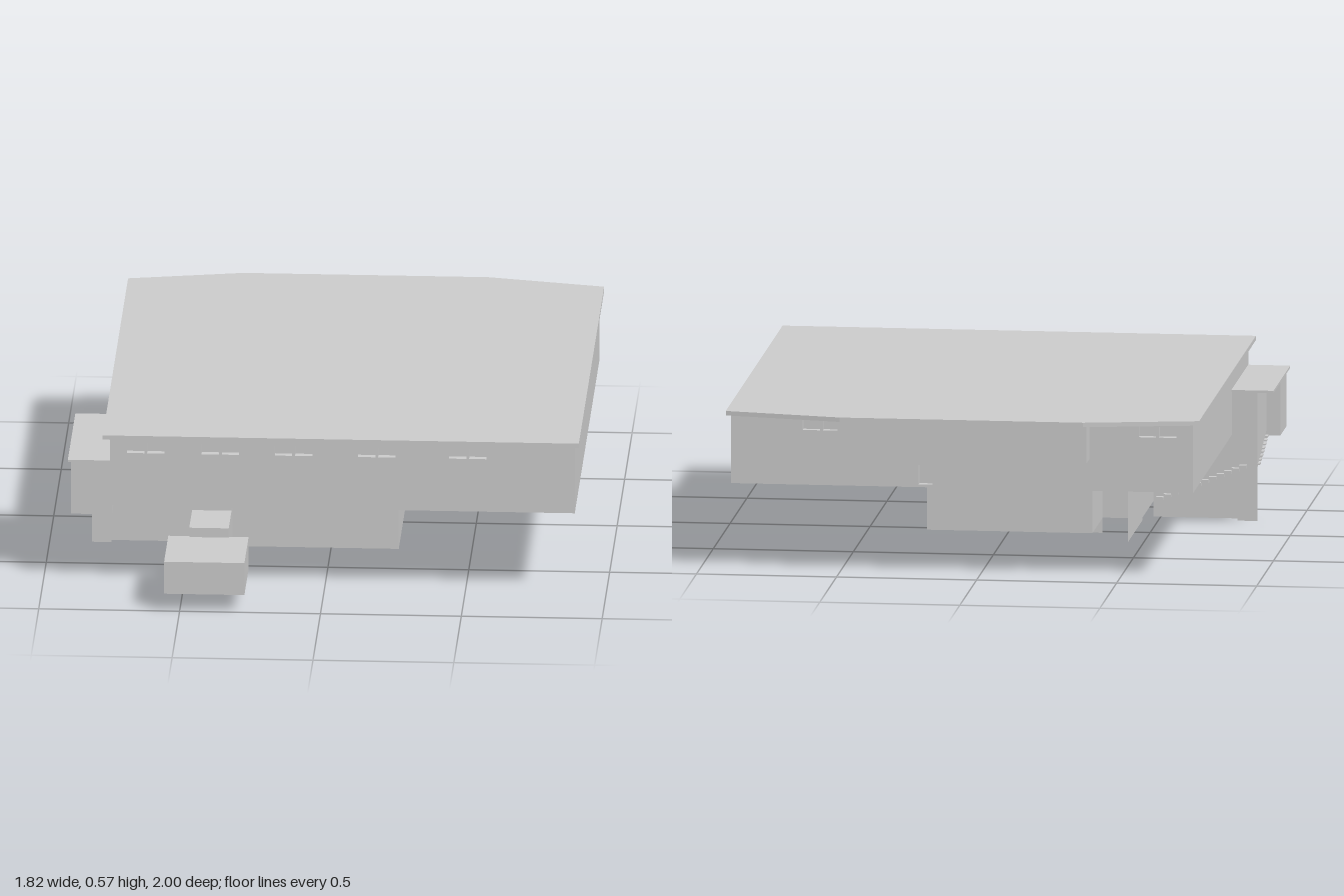
import * as THREE from 'three';

const grey = new THREE.MeshStandardMaterial({ color: 0xcccccc, flatShading: true });
const sheetGrey = new THREE.MeshStandardMaterial({ color: 0xcccccc, flatShading: true, side: THREE.DoubleSide });

export function createModel() {
  const model = new THREE.Group();

  const add = (name, geometry, material = grey) => {
    const mesh = new THREE.Mesh(geometry, material);
    mesh.name = name;
    model.add(mesh);
    return mesh;
  };
  // Box given by its extents
  const box = (name, x0, x1, y0, y1, z0, z1) => {
    const mesh = add(name, new THREE.BoxGeometry(x1 - x0, y1 - y0, z1 - z0));
    mesh.position.set((x0 + x1) / 2, (y0 + y1) / 2, (z0 + z1) / 2);
    return mesh;
  };
  const polygon = (points) => new THREE.Shape(points.map(([x, y]) => new THREE.Vector2(x, y)));
  const rect = (x0, x1, y0, y1) => polygon([[x0, y0], [x1, y0], [x1, y1], [x0, y1]]);
  const extrude = (shape, depth) =>
    new THREE.ExtrudeGeometry(shape, { depth, bevelEnabled: false, curveSegments: 24 });

  // Main hall: solid core with punched front and back walls
  const wallThickness = 0.025;
  box('hallCore', -0.76, 0.89, 0.31, 0.56, -0.89 + wallThickness, 0.76 - wallThickness);
  const wall = (name, z, openings) => {
    const shape = rect(-0.76, 0.89, 0.31, 0.56);
    openings.forEach((o) => shape.holes.push(rect(...o)));
    add(name, extrude(shape, wallThickness)).position.z = z;
  };
  // A pair of windows side by side
  const pair = (x) => [[x, x + 0.062, 0.507, 0.545], [x + 0.072, x + 0.134, 0.507, 0.545]];
  wall('frontWall', 0.76 - wallThickness, [-0.7, -0.435, -0.175, 0.12, 0.443].flatMap(pair));
  wall('backWall', -0.89, [...pair(-0.7), ...pair(0.5), [0.17, 0.22, 0.32, 0.39]]);

  // Flat roof with the tapered back edge
  const roof = polygon([[-0.785, -0.77], [0.905, -0.77], [0.905, 0.92], [0.49, 1], [-0.38, 1], [-0.785, 0.92]]);
  const roofMesh = add('roof', extrude(roof, 0.016));
  roofMesh.rotation.x = -Math.PI / 2;
  roofMesh.position.y = 0.559;

  // Projecting bay high on the back wall
  box('backBay', -0.39, 0.5, 0.425, 0.56, -0.975, -0.88);

  // Lower storey and the passage beside it
  box('lowerStorey', -0.34, 0.25, 0.065, 0.31, -0.39, 0.475);
  box('passage', -0.48, -0.34, 0.065, 0.31, -0.08, 0.54);
  box('entranceLink', -0.48, -0.34, 0.065, 0.22, 0.54, 0.73);
  box('entrancePavilion', -0.555, -0.27, 0.065, 0.185, 0.72, 1);

  // Thin retaining walls
  const sheet = (name, points, x, y, z, turn = 0) => {
    const mesh = add(name, new THREE.ShapeGeometry(polygon(points)), sheetGrey);
    mesh.position.set(x, y, z);
    mesh.rotation.y = turn;
  };
  sheet('foundationWall', [[-0.34, 0.01], [-0.01, 0.01], [-0.01, 0.07], [-0.34, 0.07]], 0, 0, -0.08);
  sheet('rearSideWall', [[0.07, 0.055], [0.5, 0.055], [0.5, 0.31], [0.07, 0.31]], -0.48, 0, 0, Math.PI / 2);
  sheet('stairBackWall', [[-0.85, 0], [-0.78, 0], [-0.78, 0.008], [-0.48, 0.008], [-0.48, 0.31],
    [-0.76, 0.31], [-0.76, 0.468], [-0.85, 0.468]], 0, 0, 0.27);
  sheet('stairSideWall', [[-0.27, 0.19], [-0.27, 0.468], [-0.55, 0.468], [-0.55, 0.28]],
    -0.85, 0, 0, Math.PI / 2);

  // Stair tower on the right side with its canopy
  box('stairTower', -0.9, -0.755, 0.26, 0.47, 0.54, 0.715);
  box('stairCanopy', -0.91, -0.76, 0.466, 0.474, 0.25, 0.75);

  // Upper flight runs back, lower flight turns along the retaining wall
  const upperSteps = 8;
  for (let i = 0; i < upperSteps; i++) {
    const y = 0.2 + i * 0.008;
    const z = 0.28 + i * 0.033;
    box('upperStep', -0.858, -0.772, y, y + 0.006, z, z + 0.036);
  }
  const lowerSteps = 12;
  for (let i = 0; i < lowerSteps; i++) {
    const x = -0.49 - i * 0.027;
    const y = 0.07 + i * 0.011;
    box('lowerStep', x - 0.027, x, y, y + 0.012, 0.25, 0.27);
  }

  // Shallow curved ribs and straight joints under the hall floor
  for (const radius of [0.28, 0.34]) {
    const arc = new THREE.Shape();
    arc.absarc(0, 0, radius, -0.45, 1.3, false);
    arc.absarc(0, 0, radius - 0.01, 1.3, -0.45, true);
    const rib = add('curvedFloorRib', extrude(arc, 0.01));
    rib.rotation.x = -Math.PI / 2;
    rib.position.set(0.22, 0.302, -0.03);
  }
  box('floorJoint', 0.1, 0.36, 0.304, 0.312, -0.62, -0.61);
  box('floorJoint', -0.4, -0.15, 0.304, 0.312, -0.55, -0.54);
  box('floorJoint', 0.62, 0.86, 0.304, 0.312, 0.1, 0.11);

  return model;
}
